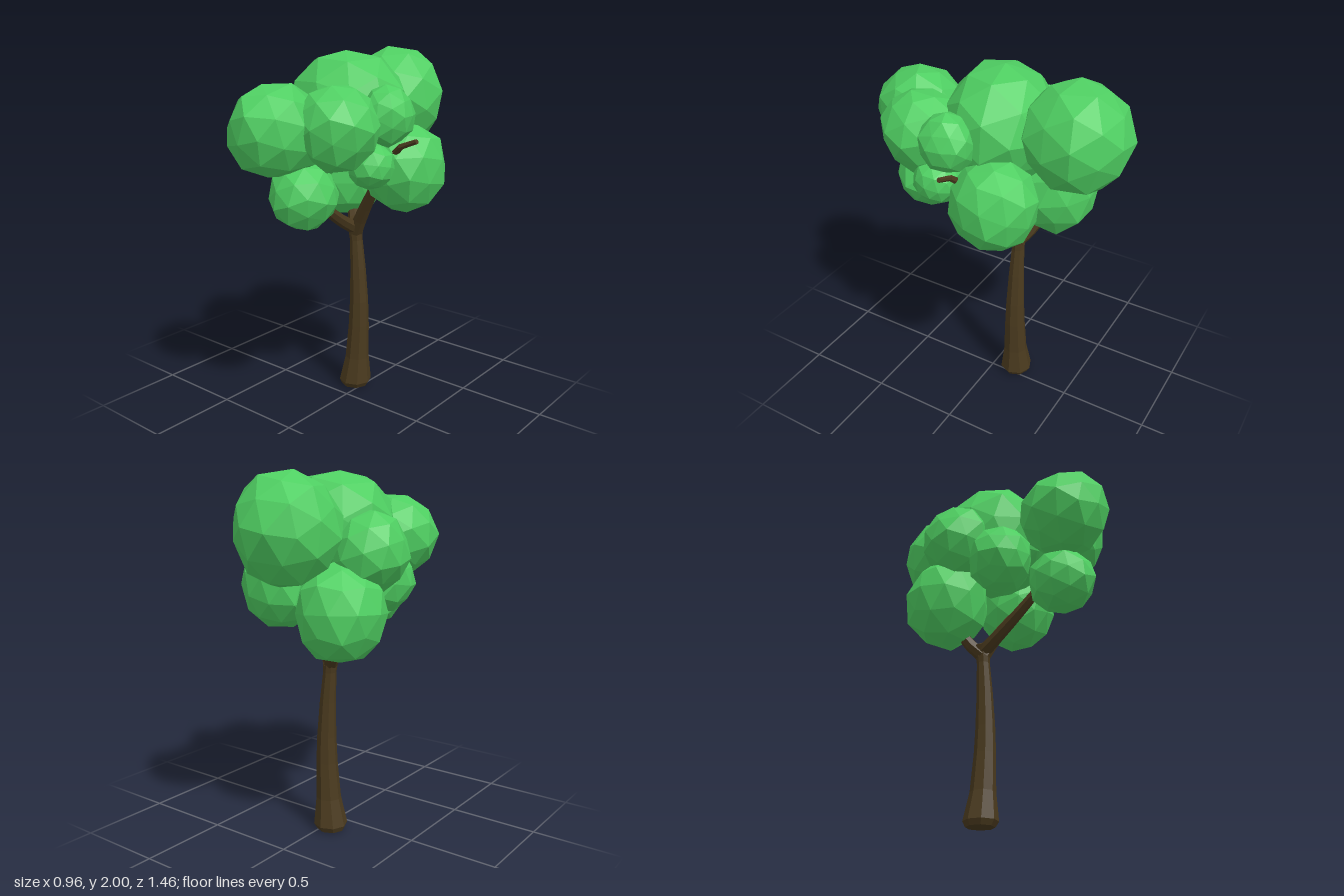
import * as THREE from 'three';

const bark = new THREE.MeshStandardMaterial({ color: 0x4a3a1e, flatShading: true });
const leaf = new THREE.MeshStandardMaterial({ color: 0x4fcf62, flatShading: true });

// Repeatable value 0..1 from a direction and a seed
function hash(v, seed) {
  const s = Math.sin(Math.round(v.x * 100) * 12.99 + Math.round(v.y * 100) * 78.23
    + Math.round(v.z * 100) * 37.72 + seed * 4.13) * 43758.55;
  return s - Math.floor(s);
}

// Faceted, slightly uneven leaf clump
function clump(name, [x, y, z], [rx, ry, rz], seed) {
  const geo = new THREE.IcosahedronGeometry(1, 1);
  const pos = geo.attributes.position;
  const turn = new THREE.Euler(seed * 0.7, seed * 1.3, seed * 0.4);
  const v = new THREE.Vector3();
  for (let i = 0; i < pos.count; i++) {
    v.fromBufferAttribute(pos, i);
    const k = 0.94 + 0.1 * hash(v, seed);
    v.applyEuler(turn).multiplyScalar(k);
    pos.setXYZ(i, v.x * rx, v.y * ry, v.z * rz);
  }
  geo.computeVertexNormals();
  const mesh = new THREE.Mesh(geo, leaf);
  mesh.name = name;
  mesh.position.set(x, y, z);
  return mesh;
}

// Tapered branch along a curve, closed at the tip
function branch(name, points, r0, r1) {
  const curve = new THREE.CatmullRomCurve3(points.map(p => new THREE.Vector3(...p)));
  const rings = 9, sides = 7;
  const geo = new THREE.TubeGeometry(curve, rings, 1, sides);
  const pos = geo.attributes.position;
  const v = new THREE.Vector3();
  for (let j = 0; j <= rings; j++) {
    const from = curve.getPointAt(j / rings);
    const t = Math.min(j / (rings - 1), 1);
    const to = curve.getPointAt(t);
    const r = j === rings ? 0 : THREE.MathUtils.lerp(r0, r1, t);
    for (let i = 0; i <= sides; i++) {
      const k = j * (sides + 1) + i;
      v.fromBufferAttribute(pos, k).sub(from).multiplyScalar(r).add(to);
      pos.setXYZ(k, v.x, v.y, v.z);
    }
  }
  geo.computeVertexNormals();
  const mesh = new THREE.Mesh(geo, bark);
  mesh.name = name;
  return mesh;
}

// Trunk: lathed profile with a gentle sideways bend
function makeTrunk() {
  const profile = [[0, 0], [0.078, 0.004], [0.095, 0.035], [0.07, 0.19], [0.06, 0.4], [0.054, 0.55],
    [0.045, 0.75], [0.037, 0.92], [0.042, 0.98], [0.052, 1.02], [0, 1.05]];
  const geo = new THREE.LatheGeometry(profile.map(p => new THREE.Vector2(...p)), 8);
  const pos = geo.attributes.position;
  for (let i = 0; i < pos.count; i++) {
    const y = pos.getY(i);
    pos.setX(i, pos.getX(i) + 0.03 * Math.sin(Math.PI * Math.min(y, 1)));
  }
  geo.computeVertexNormals();
  const mesh = new THREE.Mesh(geo, bark);
  mesh.name = 'trunk';
  mesh.position.set(-0.05, 0, -0.14);
  return mesh;
}

export function createModel() {
  const tree = new THREE.Group();
  tree.name = 'tree';
  tree.add(makeTrunk());

  // Branches
  tree.add(
    branch('frontBranch', [[-0.05, 0.99, -0.14], [-0.05, 1.05, -0.03], [-0.04, 1.15, 0.12], [-0.02, 1.28, 0.28]], 0.04, 0.025),
    branch('leftBranch', [[-0.05, 0.96, -0.14], [0.03, 1.1, -0.11], [0.22, 1.37, -0.04], [0.36, 1.52, 0.02], [0.47, 1.565, 0.02]], 0.042, 0.013),
    branch('backBranch', [[-0.05, 0.97, -0.14], [-0.11, 1.05, -0.2], [-0.2, 1.25, -0.26]], 0.04, 0.025),
  );

  // Leaf clumps: name, centre, radii
  const crown = new THREE.Group();
  crown.name = 'crown';
  [
    ['backTopClump', [-0.02, 1.71, -0.46], [0.285, 0.295, 0.285]],
    ['topClump', [-0.02, 1.68, -0.04], [0.335, 0.32, 0.31]],
    ['frontClump', [-0.06, 1.62, 0.48], [0.24, 0.245, 0.26]],
    ['frontLeftClump', [0.19, 1.64, 0.3], [0.21, 0.225, 0.23]],
    ['smallLeftClump', [0.32, 1.685, 0.07], [0.14, 0.155, 0.15]],
    ['tinyLeftClump', [0.29, 1.44, 0.16], [0.125, 0.125, 0.125]],
    ['lowFrontClump', [0.03, 1.285, 0.38], [0.19, 0.18, 0.19]],
    ['lowLeftClump', [0.27, 1.38, -0.17], [0.22, 0.25, 0.24]],
    ['lowBackClump', [-0.21, 1.28, -0.27], [0.235, 0.27, 0.25]],
    ['rightClump', [-0.28, 1.59, -0.11], [0.21, 0.22, 0.21]],
    ['lowRightClump', [-0.2, 1.42, 0.13], [0.185, 0.19, 0.18]],
  ].forEach(([name, centre, radii], i) => crown.add(clump(name, centre, radii, i + 1)));
  tree.add(crown);
  return tree;
}
